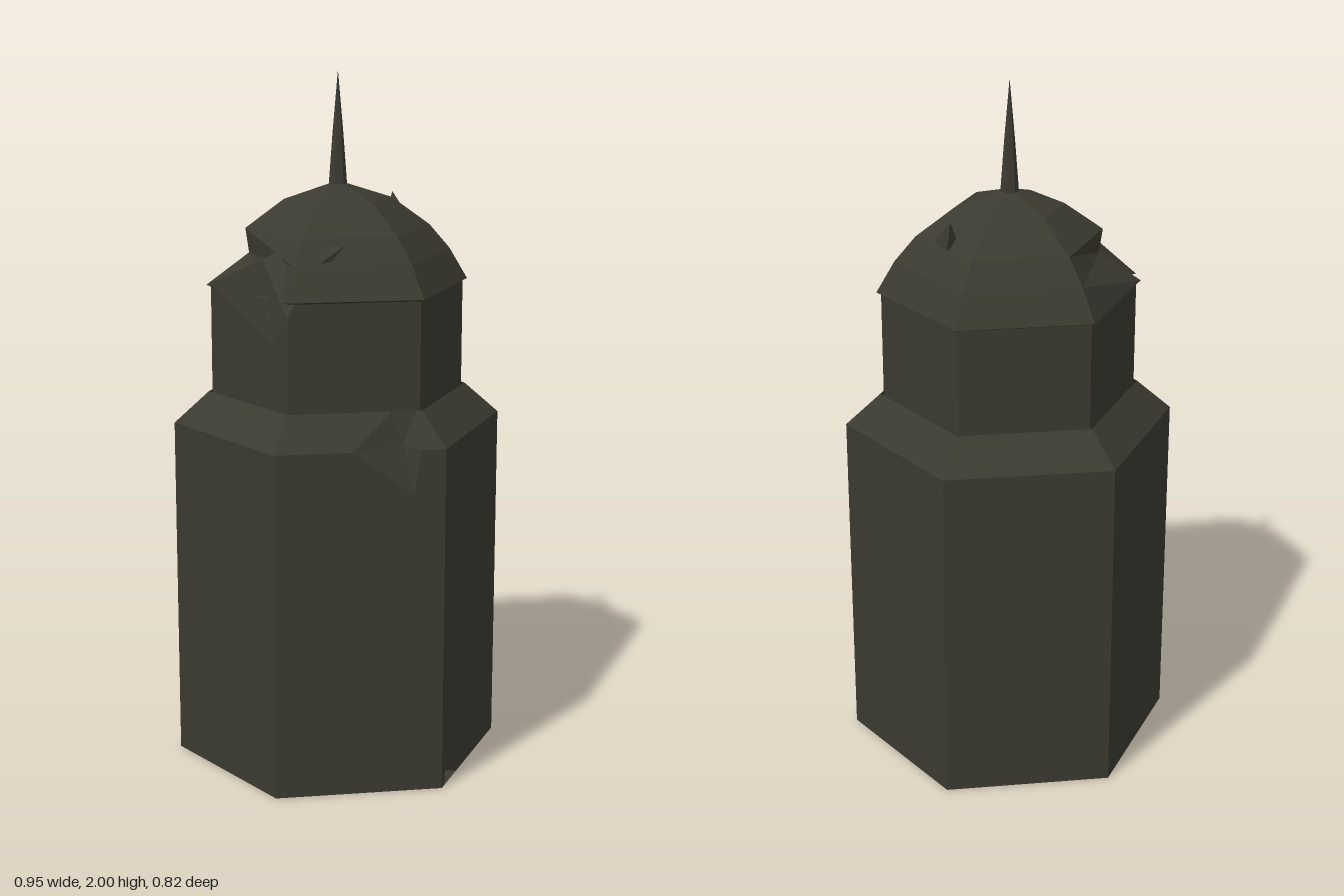
import * as THREE from 'three';

const stone = new THREE.MeshStandardMaterial({ color: 0x3b3a31, side: THREE.DoubleSide });
stone.name = 'dark olive stone';

// Flat-faced mesh
function addMesh(group, name, geometry) {
  const flat = geometry.index ? geometry.toNonIndexed() : geometry;
  flat.computeVertexNormals();
  const mesh = new THREE.Mesh(flat, stone);
  mesh.name = name;
  group.add(mesh);
  return mesh;
}

// Convex polygons, each fanned into triangles
function facets(polygons) {
  const points = [];
  for (const p of polygons) {
    for (let i = 1; i < p.length - 1; i++) points.push(...p[0], ...p[i], ...p[i + 1]);
  }
  const geometry = new THREE.BufferGeometry();
  geometry.setAttribute('position', new THREE.Float32BufferAttribute(points, 3));
  return geometry;
}

// Six-sided turned form with corners on the x axis
function hexForm(profile) {
  const points = profile.map(([r, y]) => new THREE.Vector2(r, y));
  return new THREE.LatheGeometry(points, 6, Math.PI / 6);
}

// Corner k of a hexagon; corners 0 and 5 bound the front side
function corner(k, r, y) {
  const a = Math.PI / 6 + (k * Math.PI) / 3;
  return [r * Math.sin(a), y, r * Math.cos(a)];
}

export function createModel() {
  const group = new THREE.Group();
  group.name = 'hexagonalTower';
  const R = 0.476, r = 0.375, front = 0.412, ledge = 0.325;

  // Lower walls and sloping shoulder, all but the front and the chipped side
  const walls = [], shoulder = [];
  for (let k = 0; k < 5; k++) {
    if (k > 0) walls.push([corner(k, R, 0), corner(k + 1, R, 0), corner(k + 1, R, 1), corner(k, R, 1)]);
    shoulder.push([corner(k, R, 1), corner(k + 1, R, 1), corner(k + 1, r, 1.09), corner(k, r, 1.09)]);
  }
  shoulder.push(
    [corner(5, R, 1), [-0.02, 1, front], [0.1, 1.09, ledge], corner(5, r, 1.09)],
    [[0.17, 1, front], corner(0, R, 1), corner(0, r, 1.09), [0.17, 1.09, ledge]]
  );
  addMesh(group, 'lowerWalls', facets(walls));
  addMesh(group, 'shoulder', facets(shoulder));

  // Front wall with the broken upper edge
  const outline = [[-0.238, 0], [0.238, 0], [0.238, 1], [0.17, 1], [0.15, 0.87], [-0.02, 1], [-0.238, 1]];
  const frontShape = new THREE.Shape(outline.map(([x, y]) => new THREE.Vector2(x, y)));
  addMesh(group, 'frontWall', new THREE.ShapeGeometry(frontShape).translate(0, 0, front));

  // Sunken faces of the front break
  const a = [-0.02, 1, front], b = [0.15, 0.87, front], c = [0.17, 1, front];
  const d = [0.17, 1.09, ledge], e = [0.1, 1.09, ledge], deep = [0.13, 1, 0.345];
  addMesh(group, 'frontBreak', facets([[a, b, deep], [b, c, deep], [c, d, deep], [d, e, deep], [e, a, deep]]));

  // Side wall with a small chip at its foot
  const chip = [[0.02, 0], [0.03, 0.07], [0.1, 0.06], [0.13, 0]];
  const sideOutline = [[0, 0], ...chip, [R, 0], [R, 1], [0, 1]];
  const sideShape = new THREE.Shape(sideOutline.map(([x, y]) => new THREE.Vector2(x, y)));
  const side = addMesh(group, 'chippedWall', new THREE.ShapeGeometry(sideShape));
  side.position.set(...corner(0, R, 0));
  side.rotation.y = Math.PI / 3;
  const hollow = [0.07, 0.02, -0.05];
  const chipFaces = [0, 1, 2].map((i) => [[...chip[i], 0], [...chip[i + 1], 0], hollow]);
  const footChip = addMesh(group, 'footChip', facets(chipFaces));
  footChip.position.copy(side.position);
  footChip.rotation.copy(side.rotation);

  // Underside: half intact, half recessed
  addMesh(group, 'base', facets([[corner(0, R, 0), corner(3, R, 0), corner(2, R, 0), corner(1, R, 0)]]));
  addMesh(group, 'baseRecess', facets([
    [corner(0, R, 0), corner(5, R, 0.02), corner(4, R, 0.05), corner(3, R, 0.1)],
    [corner(0, R, 0), corner(3, R, 0.1), corner(3, R, 0)],
  ]));

  // Upper drum
  addMesh(group, 'upperDrum', hexForm([[0.365, 1.08], [0.365, 1.41]]));

  // Faceted dome with a thin eave, dented at its right corner
  const dome = hexForm([[0.355, 1.39], [0.378, 1.4], [0.325, 1.49], [0.265, 1.56], [0.155, 1.64], [0, 1.69]]);
  const pos = dome.attributes.position;
  for (let i = 0; i < pos.count; i++) {
    if (pos.getX(i) < -0.3 && pos.getY(i) > 1.45) pos.setX(i, -0.255);
  }
  addMesh(group, 'dome', dome);

  // Torn flap at the front right corner of the eave
  const p = [-0.37, 1.41, 0.03], q = [-0.22, 1.28, 0.3], s = [-0.19, 1.36, 0.345];
  const t = [-0.13, 1.47, 0.27], u = [-0.24, 1.5, 0.2], v = [-0.16, 1.41, 0.325];
  addMesh(group, 'tornEave', facets([
    [p, q, u], [q, s, u], [s, t, u], [q, v, s], [s, v, t],
    [t, [-0.02, 1.55, 0.285], [-0.08, 1.48, 0.27]],
    [t, [-0.13, 1.53, 0.22], [-0.02, 1.55, 0.285]],
    [u, t, [-0.13, 1.55, 0.17]],
  ]));

  // Small splinters on the far side of the dome
  const tip = [0.18, 1.64, -0.13];
  addMesh(group, 'domeSplinter', facets([
    [[0.16, 1.58, -0.11], [0.22, 1.57, -0.08], tip],
    [[0.22, 1.57, -0.08], [0.19, 1.56, -0.14], tip],
    [[0.19, 1.56, -0.14], [0.16, 1.58, -0.11], tip],
  ]));

  // Spire
  addMesh(group, 'spire', hexForm([[0.027, 1.67], [0.015, 1.83], [0, 2]]));

  return group;
}
